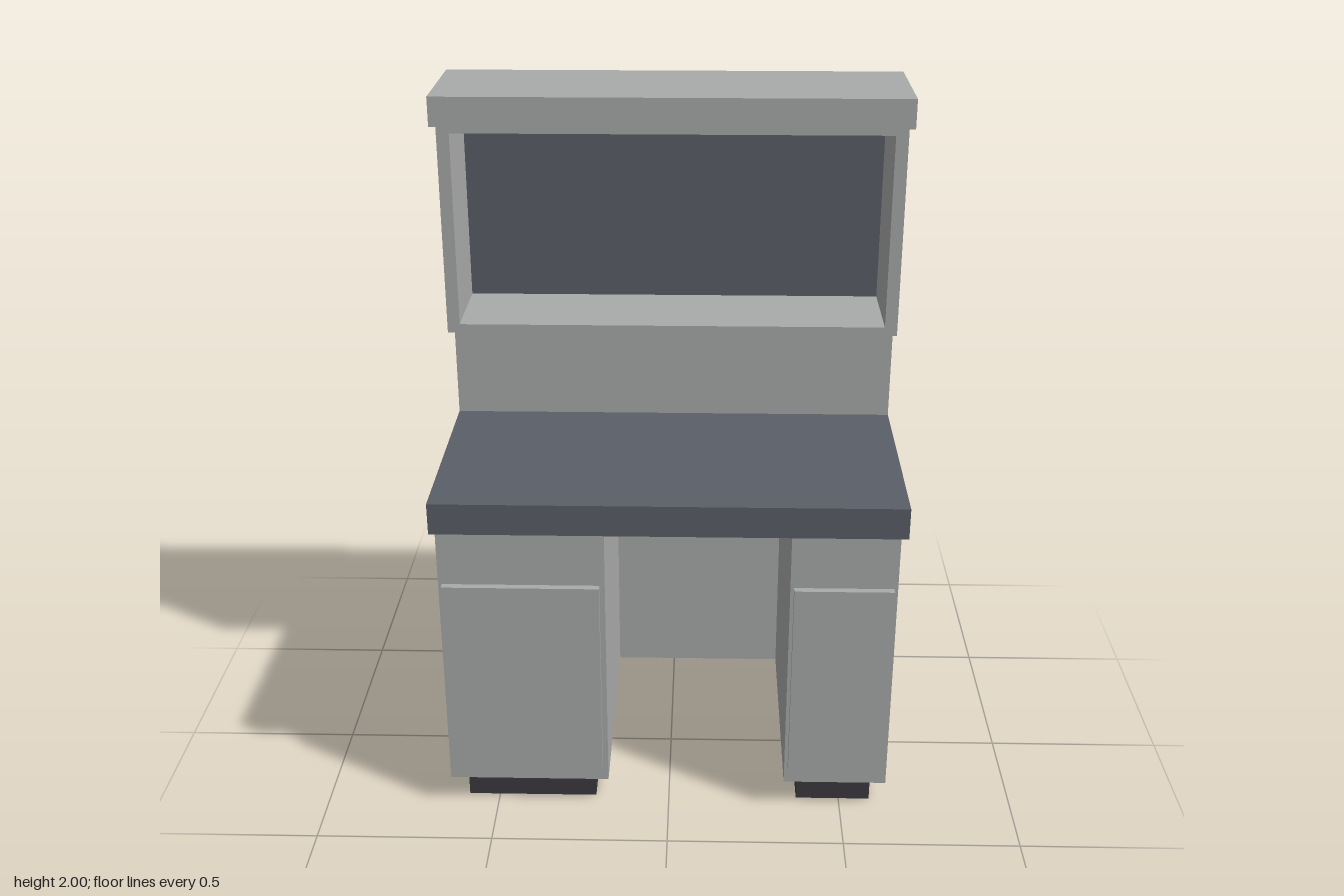
import * as THREE from 'three';

export function createModel() {
  const model = new THREE.Group();
  model.name = 'deskWithHutch';

  const mat = (name, color, side = THREE.FrontSide) => {
    const m = new THREE.MeshStandardMaterial({ color, side });
    m.name = name;
    return m;
  };
  const grey = mat('lightGrey', 0xa9abaa);
  const slate = mat('slate', 0x5a5f67);
  const charcoal = mat('charcoal', 0x3c3a3f, THREE.DoubleSide);

  // Box given by its limits on each axis
  const box = (name, material, [x0, x1], [y0, y1], [z0, z1], parent = model) => {
    const mesh = new THREE.Mesh(new THREE.BoxGeometry(x1 - x0, y1 - y0, z1 - z0), material);
    mesh.position.set((x0 + x1) / 2, (y0 + y1) / 2, (z0 + z1) / 2);
    mesh.name = name;
    parent.add(mesh);
    return mesh;
  };

  // Hollow plinth: four thin walls, open underneath
  const plinth = (name, [x0, x1], [z0, z1]) => {
    const group = new THREE.Group();
    group.name = name;
    const t = 0.004, y = [0, 0.09];
    box('plinthFront', charcoal, [x0, x1], y, [z1 - t, z1], group);
    box('plinthBack', charcoal, [x0, x1], y, [z0, z0 + t], group);
    box('plinthRight', charcoal, [x0, x0 + t], y, [z0 + t, z1 - t], group);
    box('plinthLeft', charcoal, [x1 - t, x1], y, [z0 + t, z1 - t], group);
    model.add(group);
  };

  // Two pedestals, each with a door and a plinth
  const pedestals = [
    { side: 'right', body: [-0.635, -0.175], door: [-0.625, -0.19], foot: [-0.59, -0.215] },
    { side: 'left', body: [0.335, 0.63], door: [0.345, 0.62], foot: [0.375, 0.59] },
  ];
  for (const p of pedestals) {
    box(p.side + 'Pedestal', grey, p.body, [0.09, 0.91], [-0.36, 0.335]);
    box(p.side + 'Door', grey, p.door, [0.145, 0.735], [0.335, 0.355]);
    plinth(p.side + 'Plinth', p.foot, [-0.35, 0.29]);
  }

  // Panel closing the back of the knee space
  box('kneeSpaceBack', grey, [-0.175, 0.335], [0.09, 0.91], [-0.36, -0.33]);

  // Worktop and the raised ledge behind it
  box('worktop', slate, [-0.645, 0.645], [0.91, 1.0], [-0.375, 0.375]);
  box('backLedge', grey, [-0.645, 0.645], [1.0, 1.345], [-0.375, -0.255]);

  // Open wall cabinet: sides, shelf, top, back and its dark lining
  const hutch = new THREE.Group();
  hutch.name = 'hutch';
  model.add(hutch);
  const depth = [-0.375, -0.075];
  box('hutchRightSide', grey, [-0.635, -0.6], [1.32, 1.92], depth, hutch);
  box('hutchLeftSide', grey, [0.6, 0.635], [1.32, 1.92], depth, hutch);
  box('hutchShelf', grey, [-0.6, 0.6], [1.32, 1.345], depth, hutch);
  box('hutchTop', grey, [-0.6, 0.6], [1.89, 1.92], depth, hutch);
  box('hutchBack', grey, [-0.6, 0.6], [1.345, 1.89], [-0.375, -0.345], hutch);
  box('hutchLining', slate, [-0.6, 0.6], [1.345, 1.89], [-0.345, -0.34], hutch);

  // Cornice overhanging the front
  box('cornice', grey, [-0.645, 0.645], [1.92, 2.0], [-0.375, -0.022], hutch);

  return model;
}
